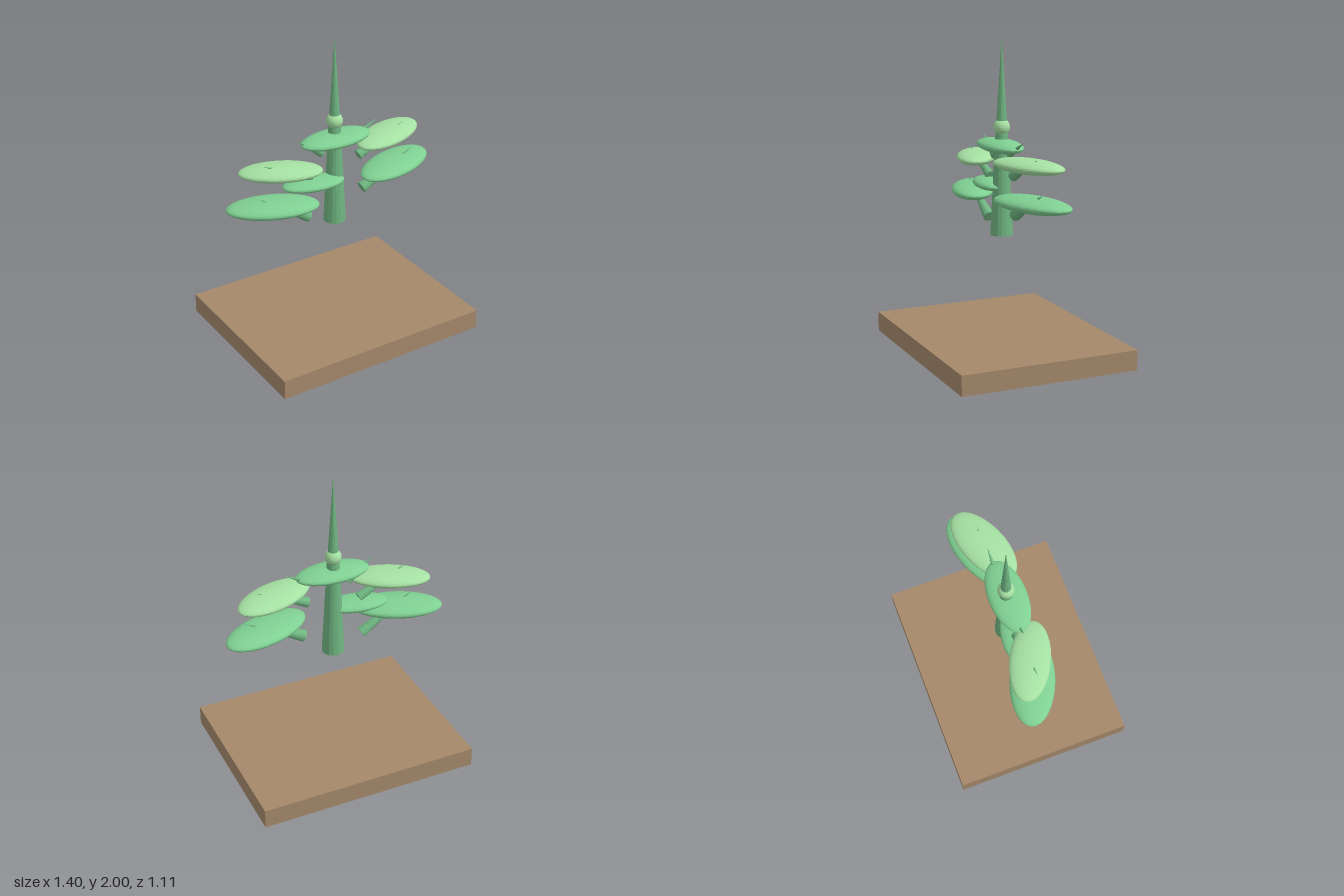
import * as THREE from 'three';

const mat = (color) => new THREE.MeshStandardMaterial({ color, flatShading: true });

export function createModel() {
  const model = new THREE.Group();
  const trunkGreen = mat(0x6fb581), padGreen = mat(0x7fcf92), paleGreen = mat(0xa5e0a2);
  const earth = mat(0xa4886a), rootBrown = mat(0x9c7a55);
  const axisX = -0.008;

  const add = (name, geometry, material, x, y, z = 0) => {
    const mesh = new THREE.Mesh(geometry, material);
    mesh.name = name;
    mesh.position.set(x, y, z);
    model.add(mesh);
    return mesh;
  };

  // Cone whose base centre and tip sit at two given points
  const spike = (name, from, to, radius, material, sides = 12) => {
    const a = new THREE.Vector3(...from), b = new THREE.Vector3(...to);
    const dir = b.clone().sub(a);
    const mid = a.clone().add(b).multiplyScalar(0.5);
    const mesh = add(name, new THREE.ConeGeometry(radius, dir.length(), sides), material, mid.x, mid.y, mid.z);
    mesh.quaternion.setFromUnitVectors(new THREE.Vector3(0, 1, 0), dir.normalize());
  };

  // Ground slab
  add('groundSlab', new THREE.BoxGeometry(1.386, 0.123, 1.11), earth, axisX, 0.152);

  // Roots fanning out under the slab
  const rootTips = [
    [-0.07, 0, 0.228], [0.063, 0.035, -0.286], [0.138, 0.04, -0.185],
    [-0.153, 0.035, -0.13], [-0.275, 0.077, 0.07], [0.254, 0.077, 0.05],
  ];
  for (const tip of rootTips) spike('root', [axisX, 0.18, 0], tip, 0.03, rootBrown, 8);

  // Trunk, knob and spire
  add('trunk', new THREE.CylinderGeometry(0.037, 0.069, 0.62, 16), trunkGreen, axisX, 1.125);
  add('knob', new THREE.SphereGeometry(0.05, 20, 14), paleGreen, axisX, 1.468);
  spike('spire', [axisX, 1.43, 0], [axisX, 2, 0], 0.036, trunkGreen, 12);

  // Flat leaf pads: centre, half length, half height, half width, turn about y
  const pads = [
    [-0.438, 1.02, 0.003, 0.277, 0.049, 0.136, -0.38, padGreen],
    [-0.382, 1.237, 0.006, 0.247, 0.043, 0.121, -0.45, paleGreen],
    [-0.163, 1.105, 0.01, 0.195, 0.036, 0.096, -0.16, padGreen],
    [-0.008, 1.357, 0.011, 0.232, 0.041, 0.114, 0, padGreen],
    [0.423, 1.077, 0.003, 0.287, 0.047, 0.14, 0.34, padGreen],
    [0.368, 1.29, 0.002, 0.26, 0.043, 0.128, 0.36, paleGreen],
  ];
  for (const [x, y, z, length, height, width, turn, material] of pads) {
    const pad = add('leafPad', new THREE.IcosahedronGeometry(1, 5), material, x, y, z);
    pad.scale.set(length, height, width);
    pad.rotation.y = turn;
  }

  // Tapered branches piercing the pads: base, tip, base radius
  const branches = [
    [[-0.196, 0.888, 0], [-0.53, 1.095, 0], 0.036],
    [[-0.175, 1.148, 0], [-0.5, 1.302, 0.008], 0.03],
    [[-0.1, 1.285, 0], [-0.27, 1.402, 0.01], 0.028],
    [[0.11, 1.32, 0], [0.3, 1.413, 0], 0.022],
    [[0.187, 0.972, 0], [0.555, 1.152, 0], 0.037],
    [[0.159, 1.2, 0], [0.48, 1.342, 0], 0.032],
  ];
  for (const [from, to, radius] of branches) spike('branch', from, to, radius, trunkGreen);

  return model;
}
